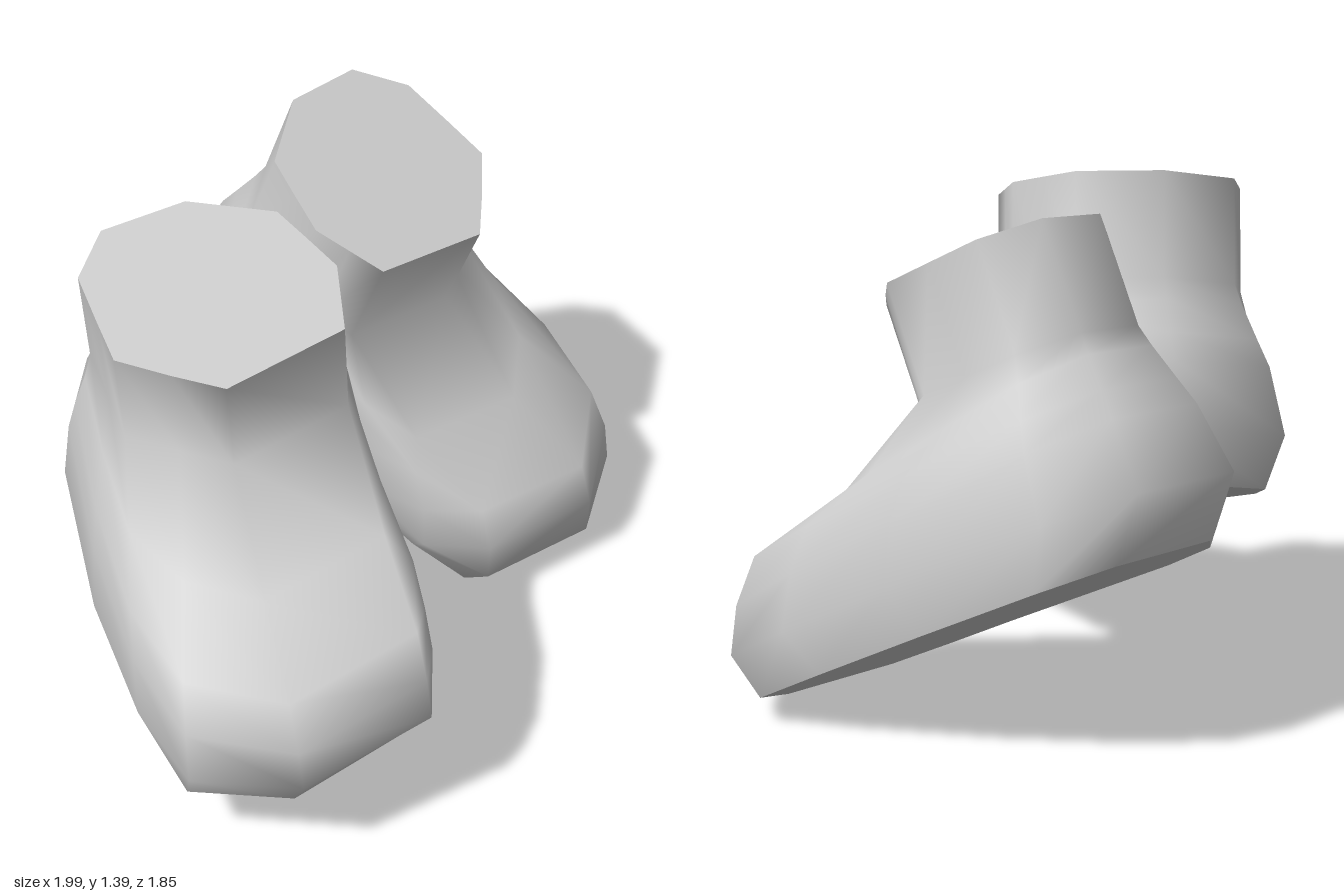
import * as THREE from 'three';

// Outlines of one boot in its own frame: [across, along], toe near 0, heel near -1.3.
// Order: toe inner, toe outer, outer side, heel, inner side.
const sole = [
  [-0.13, -0.03], [0.24, 0], [0.47, -0.16], [0.46, -0.4], [0.41, -0.75], [0.32, -1.08],
  [0.2, -1.26], [-0.14, -1.28], [-0.38, -1.07], [-0.44, -0.86], [-0.25, -0.42], [-0.2, -0.2]];
const welt = [
  [-0.15, 0.04], [0.24, 0.06], [0.48, -0.11], [0.5, -0.36], [0.45, -0.72], [0.32, -1.17],
  [0.17, -1.38], [-0.21, -1.37], [-0.46, -1.14], [-0.46, -0.92], [-0.3, -0.4], [-0.26, -0.14]];
const collar = [
  [-0.31, -0.65], [0.04, -0.63], [0.14, -0.74], [0.24, -0.86], [0.22, -1.0], [0.195, -1.16],
  [0.07, -1.28], [-0.17, -1.26], [-0.36, -1.1], [-0.38, -0.98], [-0.4, -0.85], [-0.355, -0.75]];

// Upper rings blend from welt to collar: [blend at heel, blend at toe, height at heel, height at toe]
const upperRings = [
  [0, 0, 0.145, 0.13],
  [0.3, 0.05, 0.34, 0.24],
  [0.55, 0.16, 0.42, 0.35],
  [0.85, 0.55, 0.52, 0.41],
  [1, 1, 0.58, 0.58],
  [1, 1, 0.884, 0.884]];

const N = sole.length;
const { lerp } = THREE.MathUtils;

function makeRings(mirror) {
  const rings = [sole.map(([x, z]) => [x * mirror, 0, z])];
  for (const [tBack, tFront, hBack, hFront] of upperRings) {
    rings.push(welt.map(([x, z], i) => {
      const w = (z + 1.38) / 1.44;
      const t = lerp(tBack, tFront, w);
      return [lerp(x, collar[i][0], t) * mirror, lerp(hBack, hFront, w), lerp(z, collar[i][1], t)];
    }));
  }
  return rings;
}

function meshFrom(name, points, faces, flip, material) {
  const geometry = new THREE.BufferGeometry();
  geometry.setAttribute('position', new THREE.Float32BufferAttribute(points.flat(), 3));
  geometry.setIndex(faces.flatMap(([a, b, c]) => (flip ? [a, c, b] : [a, b, c])));
  geometry.computeVertexNormals();
  const mesh = new THREE.Mesh(geometry, material);
  mesh.name = name;
  return mesh;
}

// Flat lid over one ring, as a fan from its centre
function lid(name, ring, flip, material) {
  const centre = [0, 1, 2].map((k) => ring.reduce((s, p) => s + p[k], 0) / N);
  const faces = ring.map((_, i) => [N, i, (i + 1) % N]);
  return meshFrom(name, [...ring, centre], faces, flip, material);
}

function makeBoot(name, mirror, across, up, along, origin, material) {
  const boot = new THREE.Group();
  boot.name = name;
  const rings = makeRings(mirror);
  const flip = mirror < 0;

  // Smooth side wall from the sole to the collar
  const faces = [];
  for (let r = 0; r < rings.length - 1; r++) {
    for (let i = 0; i < N; i++) {
      const j = (i + 1) % N;
      const a = r * N + i, b = r * N + j;
      faces.push([a, b, b + N], [a, b + N, a + N]);
    }
  }
  boot.add(meshFrom('upper', rings.flat(), faces, flip, material));
  boot.add(lid('sole', rings[0], !flip, material));
  boot.add(lid('collarTop', rings[rings.length - 1], flip, material));

  // Tilt and place the boot
  const basis = new THREE.Matrix4().makeBasis(
    new THREE.Vector3(...across).normalize(),
    new THREE.Vector3(...up).normalize(),
    new THREE.Vector3(...along).normalize());
  boot.quaternion.setFromRotationMatrix(basis);
  boot.position.set(...origin);
  return boot;
}

export function createModel() {
  const material = new THREE.MeshStandardMaterial({ color: 0xcccccc });
  const model = new THREE.Group();
  model.name = 'boots';
  model.add(makeBoot('leftBoot', 1,
    [1, 0, 0], [0, 0.905, 0.426], [0, -0.426, 0.905], [0.5, 0, 0.27], material));
  model.add(makeBoot('rightBoot', -1,
    [0.962, 0.16, 0.215], [-0.199, 0.957, 0.177], [-0.175, -0.213, 0.959], [-0.518, 0.239, 0.84], material));
  return model;
}
